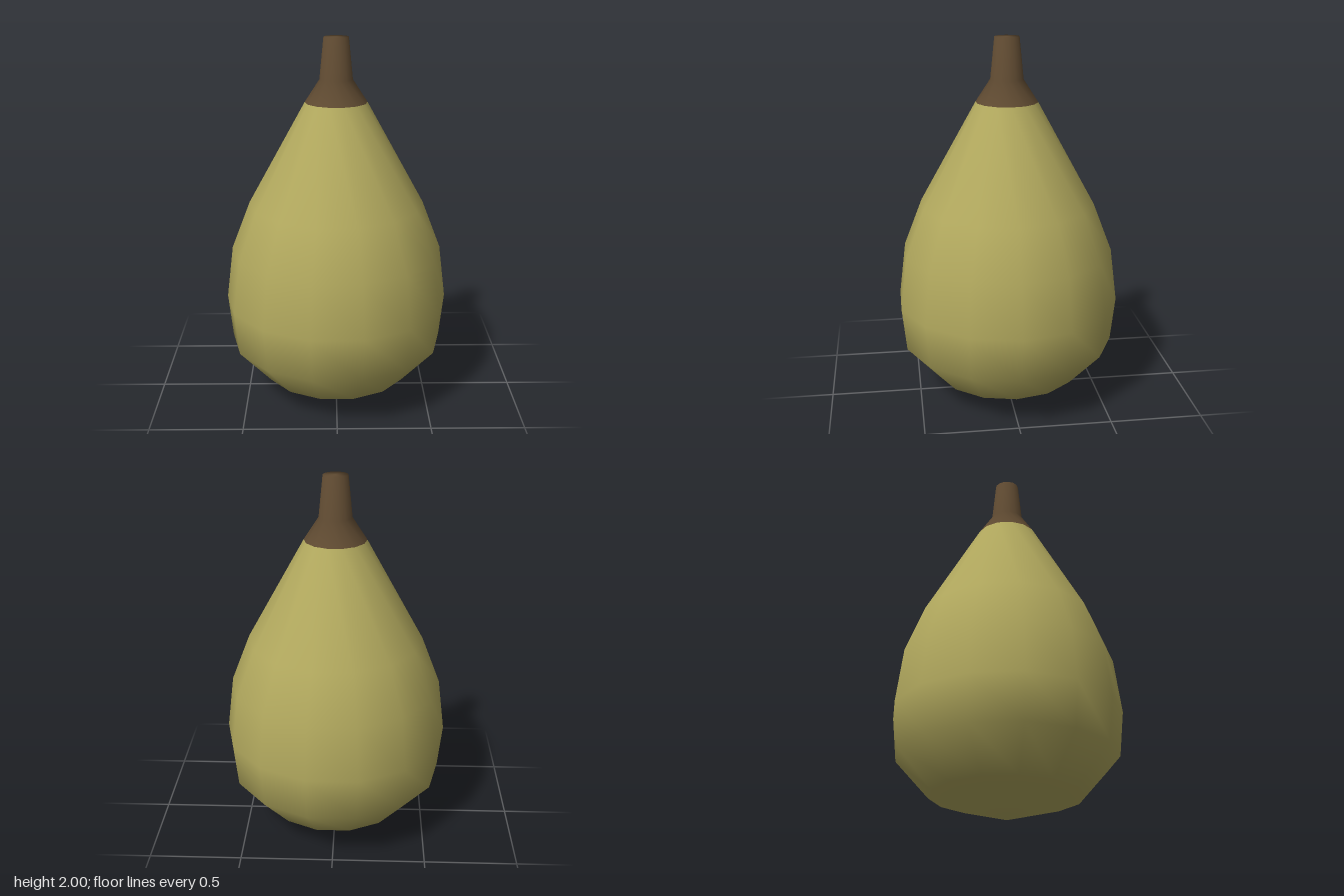
import * as THREE from 'three';

const SIDES = 14;

// Turned part from a bottom-to-top list of [radius, height], with a corner on the x axis
function turned(name, profile, material) {
  const points = profile.map(([r, y]) => new THREE.Vector2(r, y));
  const mesh = new THREE.Mesh(new THREE.LatheGeometry(points, SIDES, Math.PI / 2), material);
  mesh.name = name;
  return mesh;
}

export function createModel() {
  const skin = new THREE.MeshStandardMaterial({ name: 'olive skin', color: 0xb2a95e });
  const bark = new THREE.MeshStandardMaterial({ name: 'brown stem', color: 0x5f4a31 });

  const group = new THREE.Group();
  group.name = 'fruit';

  // Plump body tapering up to the neck
  group.add(turned('body', [
    [0, 0], [0.405, 0.12], [0.585, 0.32], [0.61, 0.56],
    [0.573, 0.85], [0.472, 1.11], [0.166, 1.66],
  ], skin));

  // Flared stem with a closed tip
  group.add(turned('stem', [
    [0.166, 1.66], [0.088, 1.78], [0.066, 2], [0, 2],
  ], bark));

  return group;
}
